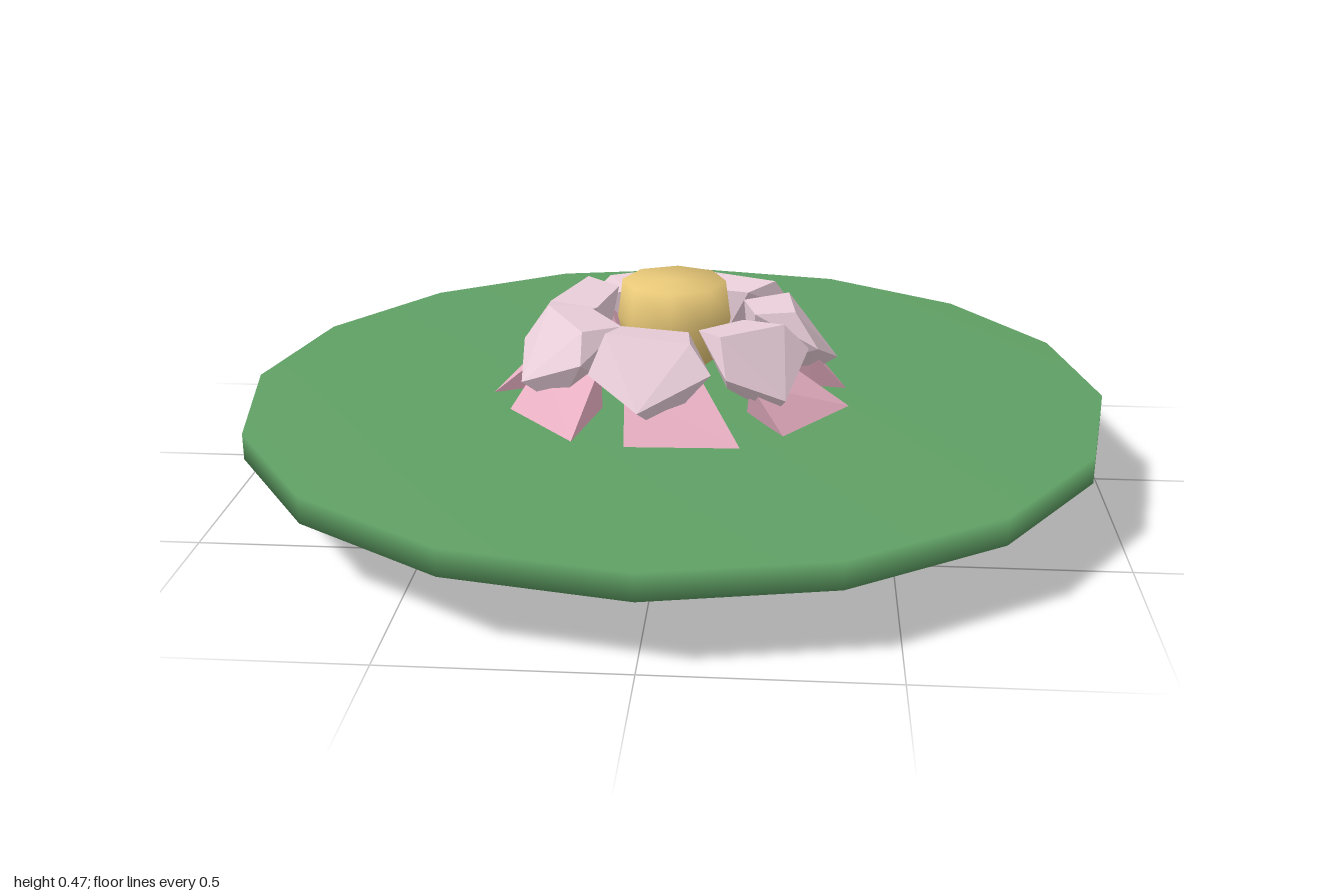
import * as THREE from 'three';
import { ConvexGeometry } from 'three/addons/geometries/ConvexGeometry.js';

const material = (color, flatShading = false) => new THREE.MeshStandardMaterial({ color, flatShading });

// Faceted disc with softly shaded edges, turned from a short profile
function turned(name, profile, sides, color) {
  const points = profile.map(([r, y]) => new THREE.Vector2(r, y));
  const mesh = new THREE.Mesh(new THREE.LatheGeometry(points, sides), material(color));
  mesh.name = name;
  return mesh;
}

// Ring of identical faceted petals; corners are [sideways, height, outward]
function petalRing(name, corners, count, offset, color) {
  const ring = new THREE.Group();
  ring.name = name + 's';
  const geometry = new ConvexGeometry(corners.map((c) => new THREE.Vector3(...c)));
  const mat = material(color, true);
  for (let i = 0; i < count; i++) {
    const petal = new THREE.Mesh(geometry, mat);
    petal.name = name;
    petal.rotation.y = offset + (i * Math.PI * 2) / count;
    ring.add(petal);
  }
  return ring;
}

export function createModel() {
  const model = new THREE.Group();
  model.name = 'waterLily';

  // Floating leaf
  model.add(turned('lilyPad', [[0, 0.15], [1, 0.15], [1, 0.21], [0, 0.21]], 16, 0x5f9f64));

  // Lower petals, dipping through the leaf
  model.add(petalRing('outerPetal', [
    [0, 0, 0.345], [-0.03, 0.12, 0.475],
    [-0.11, 0.2, 0.4], [0.14, 0.21, 0.4],
    [0, 0.16, 0.21], [-0.11, 0.31, 0.3], [0.05, 0.33, 0.25],
  ], 7, 0.075, 0xe8b0c2));

  // Upper petals, folding in around the centre
  model.add(petalRing('innerPetal', [
    [0.02, 0.22, 0.31], [-0.02, 0.28, 0.385],
    [-0.14, 0.34, 0.32], [0.13, 0.35, 0.31],
    [-0.11, 0.42, 0.27], [0.08, 0.41, 0.28],
    [0.06, 0.4, 0.17], [-0.09, 0.41, 0.18], [0, 0.25, 0.18],
  ], 7, -0.087, 0xe8cdd8));

  // Flower centre
  model.add(turned('flowerCentre', [[0, 0.29], [0.11, 0.29], [0.132, 0.38], [0.12, 0.47], [0, 0.47]], 8, 0xe8c878));

  return model;
}
